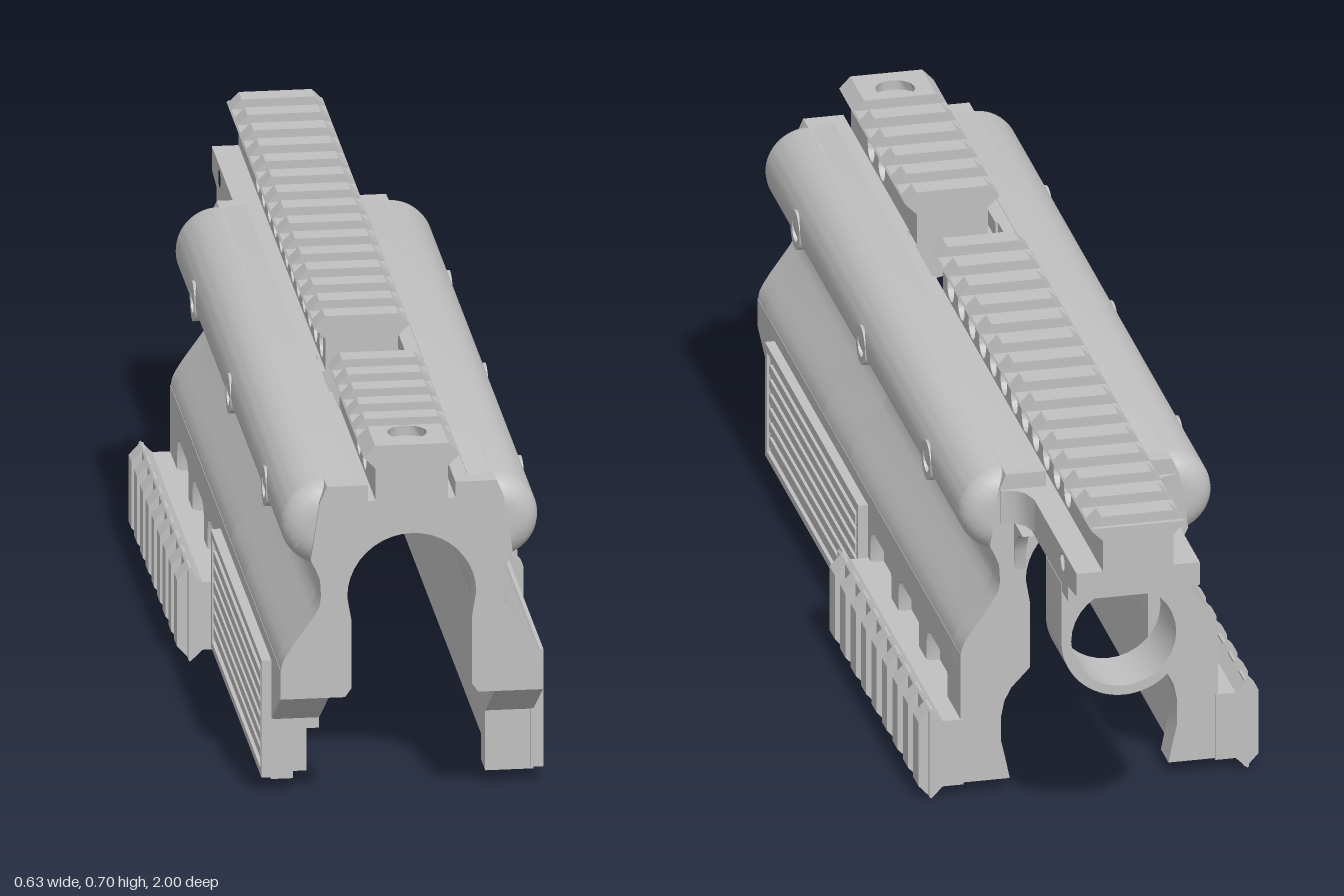
import * as THREE from 'three';
import { toCreasedNormals } from 'three/addons/utils/BufferGeometryUtils.js';

const grey = new THREE.MeshStandardMaterial({ color: 0xc0c0c0 });
grey.name = 'light metal grey';

const PITCH = 0.083;

export function createModel() {
  const model = new THREE.Group();
  model.name = 'handguard';

  const add = (name, geo) => {
    const mesh = new THREE.Mesh(toCreasedNormals(geo, 0.6), grey);
    mesh.name = name;
    model.add(mesh);
  };
  const vectors = (pts) => pts.map(([a, b]) => new THREE.Vector2(a, b));
  const shapeOf = (pts, holes = []) => {
    const s = new THREE.Shape(vectors(pts));
    s.holes.push(...holes);
    return s;
  };
  const circle = (a, b, r) => new THREE.Path().absarc(a, b, r, 0, Math.PI * 2, true);
  const solid = (shape, depth) =>
    new THREE.ExtrudeGeometry(shape, { depth, bevelEnabled: false, curveSegments: 16 });
  // Cross-section in (x, y) swept along z
  const alongZ = (name, pts, z0, z1) =>
    add(name, solid(shapeOf(pts), z1 - z0).translate(0, 0, z0));
  // Outline in (z, y) swept along x
  const alongX = (name, shape, x0, x1) =>
    add(name, solid(shape, x1 - x0).rotateY(-Math.PI / 2).translate(x1, 0, 0));
  const sideX = (s, name, shape, x0, x1) =>
    s > 0 ? alongX(name, shape, x0, x1) : alongX(name, shape, -x1, -x0);
  const rect = (a0, b0, a1, b1) => [[a0, b0], [a1, b0], [a1, b1], [a0, b1]];
  const flip = (pts, s) => pts.map(([x, y]) => [x * s, y]);
  const symmetric = (pts) => [...pts, ...flip(pts, -1).reverse()];

  // Upper shell half-section: outer wall, inner wall, barrel arch
  const section = (inner, open) => {
    const end = open ? Math.acos(0.085 / 0.118) : Math.PI / 2;
    const arch = [];
    for (let i = 0; i <= 10; i++) {
      const a = (end * i) / 10;
      arch.push([0.118 * Math.cos(a), 0.417 + 0.118 * Math.sin(a)]);
    }
    const top = open ? [[0.085, 0.63]] : [[0, 0.6], [0.08, 0.6], [0.08, 0.63]];
    return [...top, [0.155, 0.63], [0.168, 0.6], [0.185, 0.49], [0.176, 0.472], [0.168, 0.452],
      [0.166, 0.42], [0.169, 0.4], [0.18, 0.38], [0.216, 0.33], [0.23, 0.308], [0.237, 0.293],
      [0.24, 0.275], ...inner, ...arch];
  };
  const thin = [[0.17, 0.275], [0.16, 0.305], [0.128, 0.36], [0.12, 0.39]];
  const frontRib = [[0.24, 0.225], [0.122, 0.225], [0.11, 0.242], [0.11, 0.37]];
  const rearRib = [[0.24, 0.025], [0.148, 0.025], [0.155, 0.06], [0.164, 0.1], [0.164, 0.15],
    [0.158, 0.18], [0.145, 0.205], [0.11, 0.242], [0.11, 0.37]];

  // Side wall outline with chamfered front corner, in (z, y)
  const wall = (z0, y0) => [[z0, y0], [0.86, y0], [0.86, 0.14], [1, 0.225], [1, 0.28], [z0, 0.28]];
  const slot = (z) => new THREE.Path(vectors([[-0.083, 0.15], [-0.083, 0.19], [-0.076, 0.208],
    [-0.06, 0.218], [0.06, 0.218], [0.076, 0.208], [0.083, 0.19], [0.083, 0.15]]
    .map(([a, b]) => [z + a, b])));

  for (const s of [1, -1]) {
    const shell = (name, inner, z0, z1, open) => alongZ(name, flip(section(inner, open), s), z0, z1);
    shell('rearEndRib', rearRib, -0.61, -0.55, false);
    shell('rearShell', thin, -0.55, 0.27, false);
    shell('openShell', thin, 0.27, 0.475, true);
    shell('frontShell', thin, 0.475, 0.94, false);
    shell('frontEndRib', frontRib, 0.94, 1, false);

    // Lower side walls with recessed slots
    const slots = [slot(0.02), slot(-0.2), slot(-0.425)];
    sideX(s, 'sideWall', shapeOf(wall(-0.61, 0.025), slots), 0.2, 0.24);
    sideX(s, 'wallLiner', shapeOf(rect(-0.57, 0.025, 0.82, 0.28)), 0.17, 0.215);
    sideX(s, 'frontFoot', shapeOf(wall(0.8, s > 0 ? 0.025 : 0.12)), 0.152, 0.2);

    // Rounded shoulder
    const half = new THREE.Shape();
    const start = s > 0 ? -Math.PI / 2 : Math.PI / 2;
    half.absarc(0.155 * s, 0.55, 0.03, start, start + Math.PI, false);
    const shoulder = new THREE.ExtrudeGeometry(half,
      { depth: 1.525, bevelThickness: 0.04, bevelSize: 0.05, bevelSegments: 6, curveSegments: 16 });
    add('shoulder', shoulder.translate(0, 0, -0.57));

    // Shoulder screws
    for (const z of [0.72, 0.2, -0.32]) {
      const rim = new THREE.Shape().absarc(z, 0.54, 0.037, 0, Math.PI * 2, false);
      rim.holes.push(circle(z, 0.54, 0.022));
      sideX(s, 'screwRim', rim, 0.2, 0.2362);
    }

    // Ribbed grip panel
    const border = new THREE.Path(vectors(rect(0.14, 0.044, 0.85, 0.241)));
    sideX(s, 'gripPanel', shapeOf(rect(0.125, 0.03, 0.865, 0.255)), 0.235, 0.251);
    sideX(s, 'gripFrame', shapeOf(rect(0.125, 0.03, 0.865, 0.255), [border]), 0.245, 0.258);
    for (let i = 0; i < 6; i++) {
      const y = 0.06 + i * 0.029;
      sideX(s, 'gripRib', shapeOf(rect(0.155, y, 0.835, y + 0.018)), 0.245, 0.257);
    }

    // Side accessory rail
    alongZ('sideRailBase', flip([[0.235, 0.022], [0.273, 0.022], [0.295, 0], [0.298, 0.003],
      [0.298, 0.172], [0.295, 0.175], [0.273, 0.152], [0.235, 0.152]], s), -0.612, 0.12);
    for (let i = 0; i < 9; i++) {
      const z = 0.08 - i * PITCH;
      alongZ('sideRailTooth', flip([[0.29, 0.001], [0.295, 0], [0.317, 0.024],
        [0.317, 0.151], [0.295, 0.175], [0.29, 0.174]], s), z - 0.021, z + 0.021);
    }

    // Fillet joining the rear extension to the shell
    sideX(s, 'rearFillet', shapeOf([[-0.6, 0.44], [-0.61, 0.44], [-0.615, 0.48], [-0.63, 0.51],
      [-0.65, 0.526], [-0.68, 0.535], [-0.6, 0.535]]), 0.118, 0.14);
  }

  // Top rail: pierced neck, dovetail head and teeth
  const topRail = (z0, z1, holes) => {
    const neck = shapeOf(rect(z0, 0.595, z1, 0.665), holes.map((z) => circle(z, 0.633, 0.027)));
    alongX('topRailNeck', neck, -0.066, 0.066);
    alongZ('topRailHead', symmetric([[0.065, 0.66], [0.088, 0.683], [0.085, 0.686]]), z0, z1);
  };
  const tooth = (z0, z1) =>
    alongZ('topRailTooth', symmetric([[0.085, 0.68], [0.088, 0.683], [0.067, 0.705]]), z0, z1);
  topRail(-1, 0.27, Array.from({ length: 12 }, (_, i) => 0.208 - i * 0.0843));
  topRail(0.475, 1, [0.84, 0.755]);
  for (let i = 0; i < 15; i++) {
    const z = 0.249 - i * 0.0871;
    tooth(z - 0.021, z + 0.021);
  }
  for (let i = 0; i < 5; i++) tooth(0.475 + i * 0.0835, 0.515 + i * 0.0835);

  // Front rail block with sight hole, tapered towards the top
  const block = solid(shapeOf(rect(-0.067, -1, 0.067, -0.89), [circle(0, -0.93, 0.036)]), 0.022)
    .rotateX(-Math.PI / 2).translate(0, 0.683, 0);
  const p = block.attributes.position;
  for (let i = 0; i < p.count; i++) if (p.getY(i) < 0.69) p.setX(i, p.getX(i) * 1.31);
  add('frontRailBlock', block);

  // Rear extension with pin hole and flared root
  alongX('rearExtension', shapeOf([[-0.6, 0.6], [-0.6, 0.53], [-0.76, 0.53], [-0.76, 0.515],
    [-0.93, 0.515], [-0.93, 0.545], [-1, 0.555], [-1, 0.6]], [circle(-0.89, 0.575, 0.016)]),
  -0.115, 0.115);
  const flare = symmetric([[0.165, 0.6], [0.165, 0.612], [0.14, 0.618], [0.124, 0.634], [0.115, 0.665]]);
  add('rearFlare', solid(shapeOf(flare), 0.065).rotateX(-Math.PI / 2).translate(0, 0.535, 0));

  // Barrel ring
  const ring = new THREE.Shape();
  ring.moveTo(-0.116, 0.53);
  ring.lineTo(-0.116, 0.413);
  ring.absarc(0, 0.413, 0.116, Math.PI, Math.PI * 2, false);
  ring.lineTo(0.116, 0.53);
  ring.holes.push(circle(0, 0.413, 0.098));
  add('barrelRing', solid(ring, 0.125).translate(0, 0, -0.885));

  return model;
}
